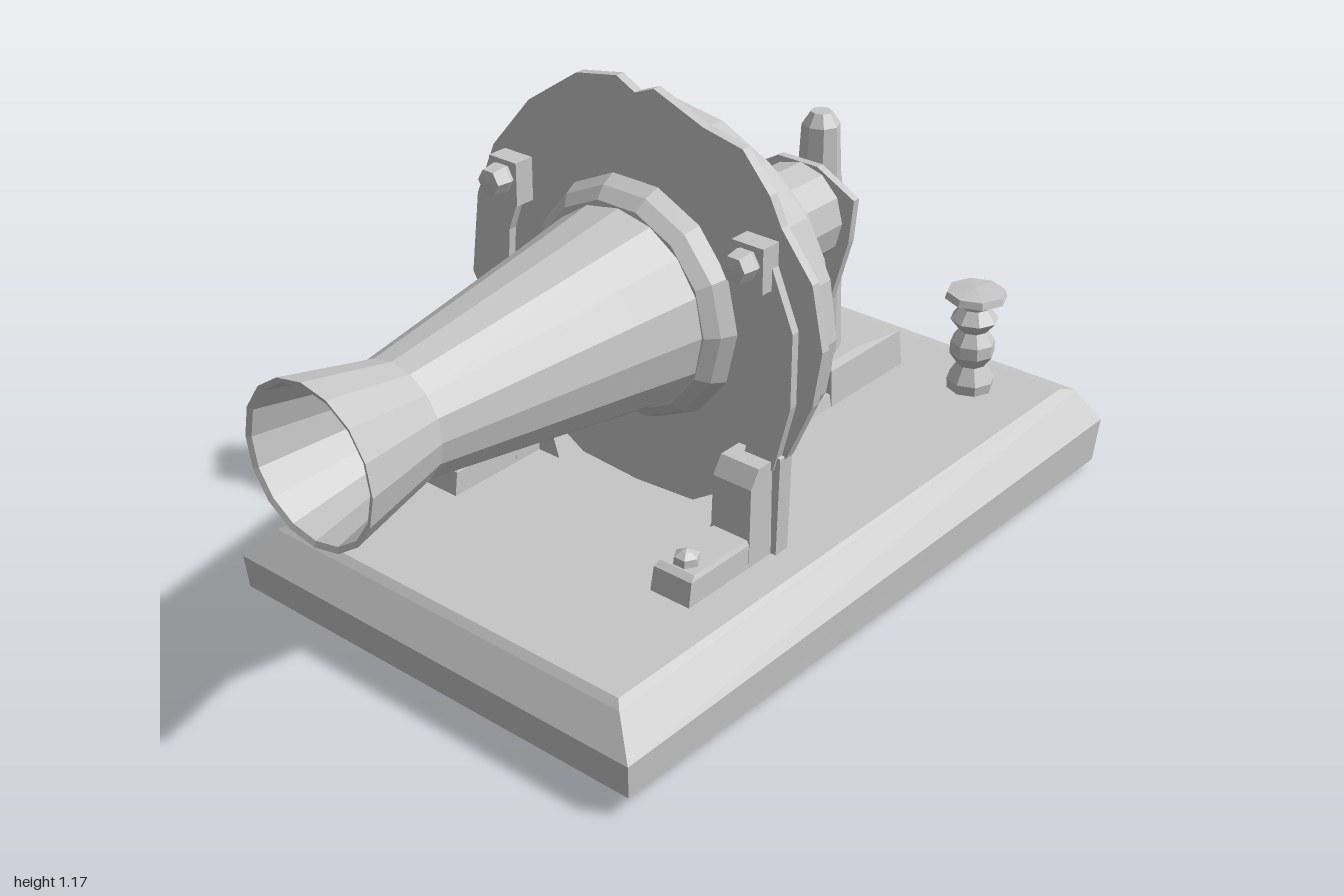
import * as THREE from 'three';

const AXIS_Y = 0.69;

export function createModel() {
  const root = new THREE.Group();
  root.name = 'earlyTelephone';
  const grey = new THREE.MeshStandardMaterial({ color: 0xc6c6c6 });
  grey.name = 'plain grey';
  grey.flatShading = true;

  function add(name, geometry, x = 0, y = 0, z = 0) {
    const mesh = new THREE.Mesh(geometry, grey);
    mesh.name = name;
    mesh.position.set(x, y, z);
    root.add(mesh);
    return mesh;
  }

  // Solid from stacked rectangles [y, x0, x1, z0, z1], bottom to top
  function stack(rows) {
    const pos = [];
    const loops = rows.map(([y, x0, x1, z0, z1]) =>
      [[x0, y, z1], [x1, y, z1], [x1, y, z0], [x0, y, z0]]);
    const quad = (a, b, c, d) => pos.push(...a, ...b, ...c, ...a, ...c, ...d);
    for (let i = 0; i < loops.length - 1; i++) {
      const lo = loops[i], hi = loops[i + 1];
      for (let k = 0; k < 4; k++) {
        const n = (k + 1) % 4;
        quad(lo[k], lo[n], hi[n], hi[k]);
      }
    }
    const first = loops[0], last = loops[loops.length - 1];
    quad(first[3], first[2], first[1], first[0]);
    quad(last[0], last[1], last[2], last[3]);
    const g = new THREE.BufferGeometry();
    g.setAttribute('position', new THREE.Float32BufferAttribute(pos, 3));
    g.computeVertexNormals();
    return g;
  }

  const lathe = (points, sides) =>
    new THREE.LatheGeometry(points.map(([r, y]) => new THREE.Vector2(r, y)), sides);

  // Turned part along x from [radius, x] points
  const turned = (points, sides) => lathe(points, sides).rotateZ(-Math.PI / 2);

  // Plate across x from a [z, y] outline
  function plate(outline, x0, x1) {
    const shape = new THREE.Shape(outline.map(([z, y]) => new THREE.Vector2(-z, y)));
    const g = new THREE.ExtrudeGeometry(shape, { depth: x1 - x0, bevelEnabled: false });
    return g.rotateY(Math.PI / 2).translate(x0, 0, 0);
  }

  // Bevelled base board with a recess underneath; its underside drops towards +x
  const board = stack([
    [0.055, -0.65, 0.9, -0.465, 0.465],
    [0.016, -0.69, 0.95, -0.515, 0.515],
    [0.036, -0.738, 0.985, -0.555, 0.55],
    [0.13, -0.745, 1.0, -0.56, 0.555],
    [0.2, -0.695, 0.975, -0.495, 0.49],
    [0.215, -0.68, 0.93, -0.475, 0.475],
  ]);
  const p = board.attributes.position;
  for (let i = 0; i < p.count; i++) {
    if (p.getY(i) < 0.1) p.setY(i, p.getY(i) + (0.13 - p.getX(i)) * 0.016);
  }
  board.computeVertexNormals();
  add('baseBoard', board);

  // Hollow horn with a flared mouth
  add('horn', turned([
    [0.2, -0.1], [0.115, -0.78], [0.163, -0.995], [0.175, -1],
    [0.128, -0.78], [0.2, -0.3], [0.232, -0.1],
  ], 16), 0, AXIS_Y, 0.005);
  add('hornCollar', turned([
    [0, -0.14], [0.235, -0.14], [0.26, -0.115], [0.28, -0.07], [0, -0.07],
  ], 14), 0, AXIS_Y, 0);

  // Uneven back plate
  add('backPlate', plate([
    [0, 1.15], [0.05, 1.17], [0.18, 1.12], [0.28, 1.1], [0.35, 1.02], [0.38, 0.96], [0.46, 0.86],
    [0.49, 0.72], [0.47, 0.59], [0.41, 0.45], [0.3, 0.34], [0.16, 0.25], [0, 0.24],
    [-0.16, 0.25], [-0.3, 0.33], [-0.41, 0.46], [-0.49, 0.6], [-0.465, 0.8],
    [-0.41, 0.93], [-0.3, 1.06], [-0.16, 1.155], [-0.05, 1.175],
  ], -0.08, -0.058));

  // Drum, slightly flattened, with a stepped front disc
  add('drumRing', turned([
    [0, -0.06], [0.43, -0.06], [0.448, -0.04], [0.442, 0.035], [0.425, 0.05], [0, 0.05],
  ], 20), 0, AXIS_Y, 0).scale.y = 0.95;
  add('drumTooth', stack([
    [0.22, -0.01, 0.03, -0.03, 0.03], [0.3, -0.05, 0.05, -0.12, 0.12],
  ]));
  add('frontDisc', turned([
    [0.34, 0.04], [0.345, 0.06], [0.366, 0.064], [0.363, 0.085], [0.342, 0.09],
    [0.342, 0.096], [0.36, 0.1], [0.357, 0.115], [0.342, 0.12], [0.35, 0.126],
    [0.345, 0.143], [0, 0.143],
  ], 20), 0, AXIS_Y + 0.005, 0).scale.y = 0.94;

  // Receiver tube and its pointed end flange
  add('receiverTube', turned([[0, 0.13], [0.125, 0.13], [0.12, 0.5], [0, 0.5]], 12), 0, AXIS_Y + 0.01, 0.005);
  add('tubeFlange', plate([
    [0.155, 0.765], [0.05, 0.82], [-0.06, 0.82], [-0.145, 0.77], [-0.11, 0.65],
    [-0.08, 0.51], [0.02, 0.47], [0.1, 0.5], [0.145, 0.66],
  ], 0.487, 0.507));
  add('flangeBoss', turned([[0.125, 0.5], [0.09, 0.525], [0.04, 0.56], [0, 0.56]], 7), 0, 0.7, 0);

  // Support post on its block
  add('postBlock', stack([
    [0.21, 0.5, 0.79, -0.112, 0.108], [0.305, 0.505, 0.785, -0.105, 0.1],
    [0.322, 0.52, 0.62, -0.09, 0.09],
  ]));
  add('postFoot', stack([
    [0.21, 0.36, 0.51, -0.112, 0.108], [0.245, 0.365, 0.51, -0.105, 0.1],
  ]));
  add('footScrew', lathe([[0.06, 0], [0.062, 0.025], [0.045, 0.045], [0.02, 0.075], [0, 0.08]], 6), 0.43, 0.24, 0);
  add('supportPost', lathe([
    [0.068, 0.31], [0.062, 0.5], [0.06, 0.62], [0.06, 0.7], [0.05, 0.78],
    [0.045, 0.89], [0.025, 0.92], [0, 0.92],
  ], 8), 0.565, 0, 0);
  add('postKnob', new THREE.IcosahedronGeometry(0.036, 0), 0.605, 0.71, 0.005);

  // Two terminals with beaded stems and wide caps
  const terminal = [
    [0.055, 0], [0.058, 0.03], [0.035, 0.07], [0.055, 0.1], [0.054, 0.13], [0.034, 0.16],
    [0.058, 0.19], [0.034, 0.22], [0.042, 0.235], [0.075, 0.245], [0.07, 0.262], [0, 0.27],
  ];
  add('frontTerminal', lathe(terminal, 8), 0.8, 0.21, 0.3);
  add('backTerminal', lathe(terminal, 8), 0.83, 0.21, -0.31).scale.y = 0.78;

  // Mirrored side brackets, each with a screwed foot, a tall arm and a clamp lug
  for (const s of [1, -1]) {
    const side = (outline) => outline.map(([z, y]) => [s * z, y]);
    add('bracketWeb', plate(side([
      [0.4, 0.21], [0.405, 0.45], [0.35, 0.47], [0.27, 0.36], [0.22, 0.21],
    ]), -0.095, -0.055));
    add('bracketArm', plate(side([
      [0.39, 0.42], [0.43, 0.58], [0.43, 0.75], [0.37, 0.89], [0.3, 0.89],
      [0.35, 0.75], [0.36, 0.6], [0.31, 0.42],
    ]), -0.1, -0.07));
    const z = 0.335 * s;
    add('bracketUpright', stack([
      [0.21, -0.17, -0.06, z - 0.052, z + 0.052], [0.4, -0.165, -0.06, z - 0.05, z + 0.05],
      [0.44, -0.14, -0.06, z - 0.05, z + 0.05],
    ]));
    add('bracketFoot', stack([
      [0.21, -0.365, -0.16, z - 0.052, z + 0.052], [0.27, -0.355, -0.16, z - 0.05, z + 0.05],
      [0.28, -0.34, -0.16, z - 0.045, z + 0.045],
    ]));
    add('bracketScrew', lathe([[0.03, 0], [0.028, 0.02], [0.012, 0.03], [0, 0.035]], 6), -0.31, 0.277, z);
    add('clampLug', new THREE.BoxGeometry(0.06, 0.1, 0.08), -0.1, 0.88, z);
    add('clampKnob', turned([
      [0, -0.06], [0.03, -0.055], [0.035, -0.02], [0.02, 0.04],
    ], 6), -0.12, 0.89, z);
  }

  return root;
}
